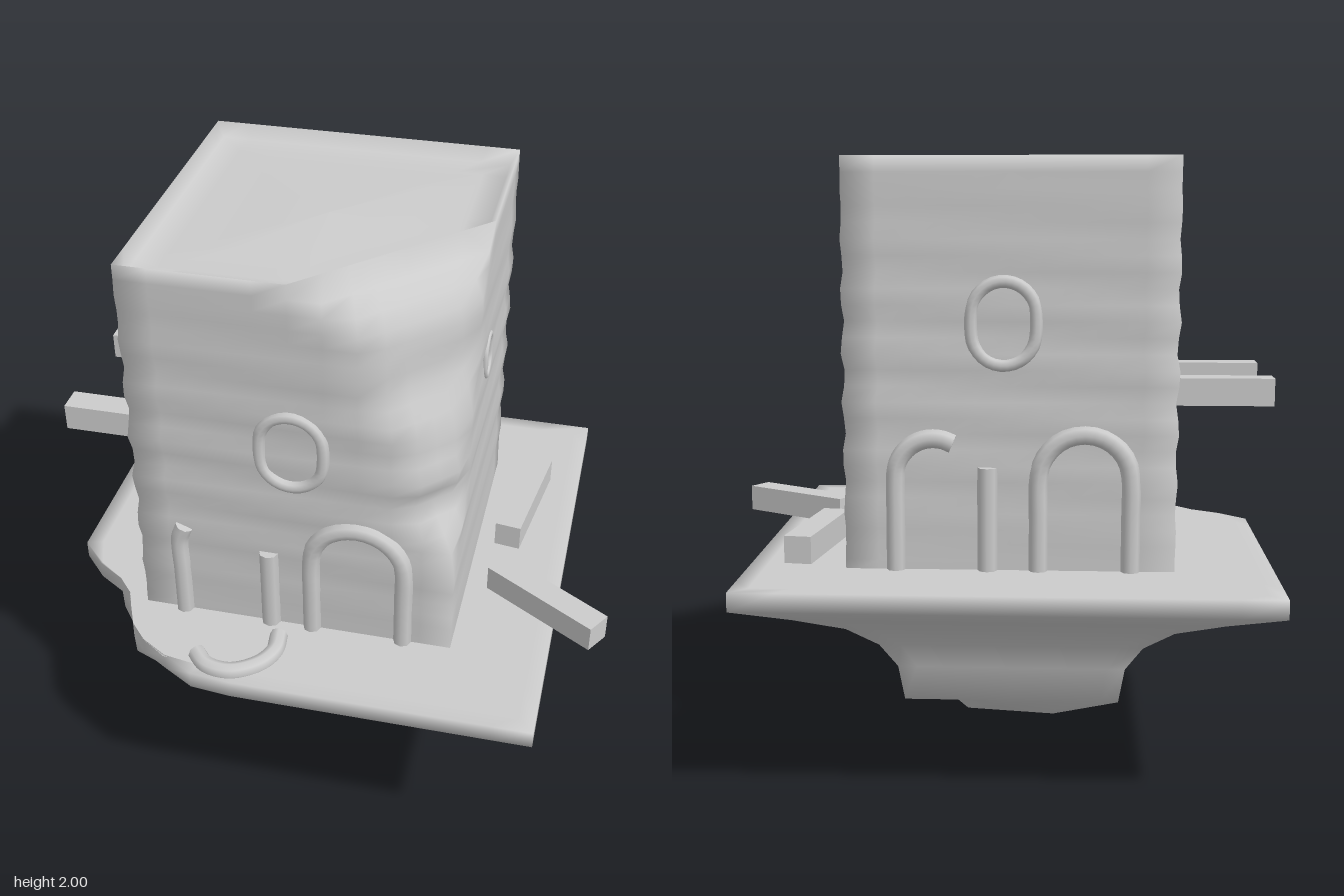
import * as THREE from 'three';

const CX = -0.08, GROUND = 0.71, WALL = 0.52;
const V = (x, y, z) => new THREE.Vector3(x, y, z);
const material = new THREE.MeshStandardMaterial({ color: 0xcccccc, side: THREE.DoubleSide });

function add(parent, name, geometry) {
  const mesh = new THREE.Mesh(geometry, material);
  mesh.name = name;
  parent.add(mesh);
  return mesh;
}

// Unit square outline, counterclockwise seen from above
function square(n) {
  const points = [];
  const corners = [[-1, 1], [1, 1], [1, -1], [-1, -1]];
  corners.forEach(([x, z], k) => {
    const [x2, z2] = corners[(k + 1) % 4];
    for (let i = 0; i < n; i++) points.push([x + (x2 - x) * i / n, z + (z2 - z) * i / n]);
  });
  return points;
}

// Piecewise linear value from [position, value] pairs
function sample(pairs, t) {
  for (let i = 1; i < pairs.length; i++) {
    const [a, va] = pairs[i - 1], [b, vb] = pairs[i];
    if (t <= b) return THREE.MathUtils.lerp(va, vb, Math.max(0, (t - a) / (b - a)));
  }
  return pairs[pairs.length - 1][1];
}

// Smooth skin over closed rings listed along the surface
function loft(rings) {
  const n = rings[0].length, index = [];
  for (let r = 0; r < rings.length - 1; r++) {
    for (let i = 0; i < n; i++) {
      const j = (i + 1) % n, a = r * n, b = a + n;
      index.push(a + i, a + j, b + j, a + i, b + j, b + i);
    }
  }
  const geometry = new THREE.BufferGeometry().setFromPoints(rings.flat());
  geometry.setIndex(index);
  geometry.computeVertexNormals();
  return geometry;
}

// Square timber from a to b
function beam(parent, name, a, b) {
  const mesh = add(parent, name, new THREE.BoxGeometry(0.09, 0.09, a.distanceTo(b)));
  mesh.position.copy(a).add(b).multiplyScalar(0.5);
  mesh.lookAt(b);
}

function tube(parent, name, points, radius, closed = false) {
  const curve = new THREE.CatmullRomCurve3(points, closed, 'centripetal');
  const group = new THREE.Group();
  group.name = name;
  parent.add(group);
  add(group, name + 'Tube', new THREE.TubeGeometry(curve, 36, radius, 8, closed));
  if (closed) return;
  // End discs
  for (const t of [0, 1]) {
    const disc = add(group, name + 'End', new THREE.CircleGeometry(radius, 8));
    disc.position.copy(curve.getPointAt(t));
    disc.quaternion.setFromUnitVectors(V(0, 0, 1), curve.getTangentAt(t).multiplyScalar(t ? 1 : -1));
  }
}

// Upright frame round a doorway; sweep below PI leaves the arch broken
function arch(parent, name, x1, x2, top, z, sweep = Math.PI) {
  const r = Math.abs(x2 - x1) / 2, mid = (x1 + x2) / 2, dir = Math.sign(x1 - x2);
  const spring = top - r, points = [];
  for (let i = 0; i <= 3; i++) points.push(V(x1, GROUND - 0.02 + (spring - GROUND) * i / 3, z));
  for (let i = 1; i <= 8; i++) {
    const a = sweep * i / 8;
    points.push(V(mid + dir * r * Math.cos(a), spring + r * Math.sin(a), z));
  }
  if (sweep === Math.PI) for (let i = 2; i >= 0; i--) points.push(V(x2, GROUND - 0.02 + (spring - GROUND) * i / 3, z));
  tube(parent, name, points, 0.03);
}

// Rounded oblong window frame
function windowFrame(parent, name, halfW, halfH, radius, position, turn = 0) {
  const points = [], rise = halfH - halfW;
  for (let i = 0; i < 16; i++) {
    const a = (i + 0.5) / 16 * Math.PI * 2;
    points.push(V(halfW * Math.cos(a), halfW * Math.sin(a) + Math.sign(Math.sin(a)) * rise, 0));
  }
  const group = new THREE.Group();
  tube(group, name, points, radius, true);
  group.name = name + 'Group';
  group.position.copy(position);
  group.rotation.y = turn;
  parent.add(group);
}

function islandGeometry() {
  const outline = square(12);
  // Outer rings lose the broken front corner
  const ring = (half, y) => outline.map(([u, w]) => {
    const x = u * half, z = w * half, reach = z - x;
    const limit = 1.13 + 0.05 * Math.sin(7 * (x + z));
    const k = reach > limit ? limit / reach : 1;
    return V(CX + x * k, y, z * k);
  });
  // Uneven underside: one tip, a second lobe and two hollowed corners
  const tip = V(0.1, 0, 0.18);
  const lobe = outline.map(([u, w]) => V(CX + u * 0.355, 0, w * 0.355).lerp(tip, 0.5)
    .add(V(0.05 * Math.min(0, u), 0, 0))
    .setY(0.11 - 0.06 * Math.max(0, -u) * (1 - 0.5 * Math.abs(w)) + 0.09 * Math.max(0, -u * w)));
  const rings = [outline.map(() => tip.clone()), lobe];
  const profile = [[0.355, 0.22], [0.375, 0.34], [0.43, 0.43], [0.525, 0.51], [0.67, 0.58],
    [0.835, 0.65], [0.835, GROUND], [0.78, GROUND], [0, GROUND]];
  profile.forEach(([half, y]) => rings.push(ring(half, y)));
  return loft(rings);
}

function towerGeometry() {
  const outline = square(10);
  // How far the front corner is worn away at each height
  const loss = [[1.08, 0], [1.17, 0.13], [1.25, 0.17], [1.35, 0.13], [1.45, 0.17], [1.55, 0.2],
    [1.66, 0.28], [1.75, 0.27], [1.86, 0.3], [1.93, 0.38], [2, 0.52]];
  const ring = (y, scale, wear, dip = 0) => {
    const limit = 2 - sample(loss, y) / WALL;
    return outline.map(([u, w], i) => {
      const k = u + w > limit ? limit / (u + w) : 1;
      const half = k * scale * (WALL + wear * Math.sin(y * 37 + i * 0.3));
      return V(CX + u * half, y - dip, w * half);
    });
  };
  const rings = [];
  const levels = 26;
  for (let k = 0; k <= levels; k++) {
    const t = k / levels;
    rings.push(ring(THREE.MathUtils.lerp(GROUND - 0.02, 2, t), 1, 0.006 * Math.sin(Math.PI * t)));
  }
  // Sunken roof
  for (const [scale, dip] of [[0.95, 0.045], [0.8, 0.05], [0.5, 0.04], [0, 0.03]]) rings.push(ring(2, scale, 0, dip));
  return loft(rings);
}

export function createModel() {
  const model = new THREE.Group();
  model.name = 'ruinedTowerIsland';
  add(model, 'island', islandGeometry());
  add(model, 'tower', towerGeometry());

  // Front doorways, one broken down to its two stumps
  arch(model, 'frontArch', -0.025, 0.28, 1.145, WALL);
  tube(model, 'frontTallStump', [V(-0.465, 0.69, WALL), V(-0.465, 0.88, WALL), V(-0.465, 1.01, WALL), V(-0.445, 1.065, WALL)], 0.03);
  tube(model, 'frontShortStump', [V(-0.165, 0.69, WALL), V(-0.165, 1.005, WALL)], 0.032);

  // Fallen piece of the arch
  tube(model, 'fallenArch', [V(-0.36, 0.715, 0.73), V(-0.31, 0.715, 0.78), V(-0.23, 0.715, 0.79),
    V(-0.15, 0.715, 0.74), V(-0.115, 0.715, 0.67), V(-0.12, 0.715, 0.59)], 0.03);

  // Back doorways
  arch(model, 'backArch', -0.46, -0.17, 1.145, -WALL);
  arch(model, 'backBrokenArch', 0.28, 0.04, 1.13, -WALL, 2.1);
  tube(model, 'backStump', [V(-0.01, 0.69, -WALL), V(-0.01, 1.04, -WALL)], 0.032);

  // Windows
  windowFrame(model, 'frontWindow', 0.1, 0.13, 0.02, V(-0.08, 1.415, WALL));
  windowFrame(model, 'backWindow', 0.1, 0.13, 0.02, V(-0.06, 1.49, -WALL));
  windowFrame(model, 'sideWindow', 0.055, 0.072, 0.01, V(CX + WALL, 1.53, 0.01), Math.PI / 2);

  // Beams standing out of the wall
  for (const z of [-0.23, 0.23]) beam(model, 'wallBeam', V(-0.93, 1.25, z), V(-0.55, 1.25, z));

  // Fallen beams
  beam(model, 'fallenBeam', V(0.545, 0.755, -0.04), V(0.605, 0.755, -0.47));
  beam(model, 'fallenBeam', V(0.535, 0.755, 0.16), V(0.905, 0.755, 0.39));
  return model;
}
